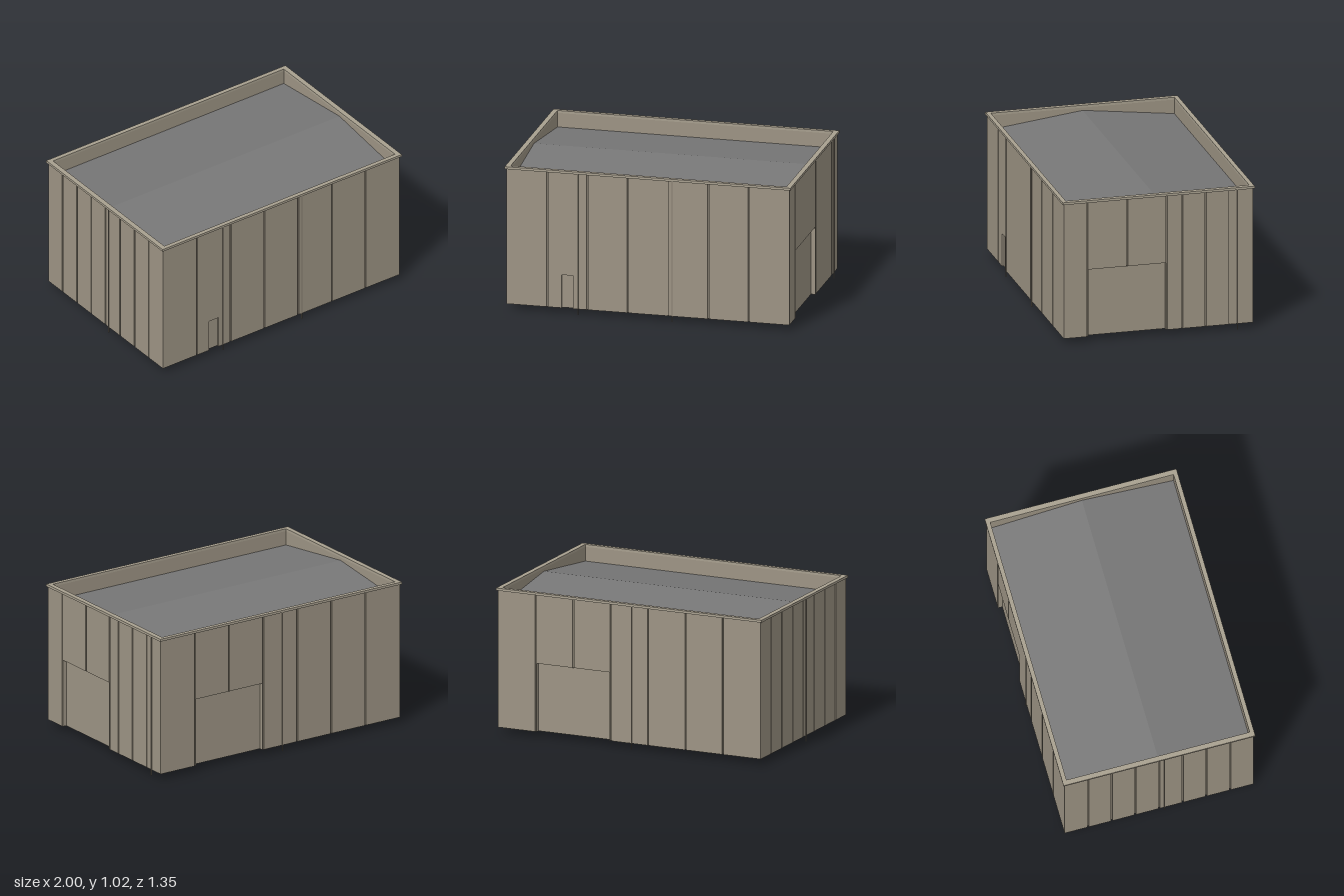
import * as THREE from 'three';

const BASE = 0.04, TOP = 1.0;          // wall panels
const HX = 0.99, HZ = 0.665;           // outer wall faces
const IX = 0.965, IZ = 0.645;          // inner parapet faces
const EAVE = 0.9, RIDGE = 0.98;

const mat = (color) => new THREE.MeshStandardMaterial({ color, side: THREE.DoubleSide, flatShading: true });

function add(parent, name, geometry, material) {
  const mesh = new THREE.Mesh(geometry, material);
  mesh.name = name;
  parent.add(mesh);
  return mesh;
}

// Vertical sheet following a plan path of [x, z] points
function strip(path, y0, y1) {
  const pos = [], index = [];
  path.forEach(([x, z], i) => {
    pos.push(x, y0, z, x, y1, z);
    if (i) {
      const a = 2 * i - 2;
      index.push(a, a + 2, a + 1, a + 1, a + 2, a + 3);
    }
  });
  const g = new THREE.BufferGeometry();
  g.setAttribute('position', new THREE.Float32BufferAttribute(pos, 3));
  g.setIndex(index);
  g.computeVertexNormals();
  return g;
}

// Plan path of a wall with rectangular recesses [from, to, depth]
function wallPath(half, recesses) {
  const path = [[-half, 0]];
  [...recesses].sort((a, b) => a[0] - b[0]).forEach(([a, b, d]) =>
    path.push([a, 0], [a, -d], [b, -d], [b, 0]));
  path.push([half, 0]);
  return path;
}

// Wall panel: joints are grooves, an optional door is a deeper recess
function makeWall(name, { half, dist, turn, joints, pipes, door }, materials) {
  const wall = new THREE.Group();
  wall.name = name;
  const grooves = joints.map((u) => [u - 0.005, u + 0.005, 0.01]);
  const sheet = new THREE.Group();
  sheet.position.z = dist;
  wall.add(sheet);
  if (door) {
    const { from, to, top, depth } = door;
    const clear = grooves.filter(([a, b]) => b < from || a > to);
    add(sheet, 'lowerPanels', strip(wallPath(half, [...clear, [from, to, depth]]), BASE, top), materials.wall);
    add(sheet, 'upperPanels', strip(wallPath(half, grooves), top, TOP), materials.wall);
    const soffit = add(sheet, 'doorSoffit', new THREE.PlaneGeometry(to - from, depth), materials.wall);
    soffit.rotation.x = Math.PI / 2;
    soffit.position.set((from + to) / 2, top, -depth / 2);
  } else {
    add(sheet, 'panels', strip(wallPath(half, grooves), BASE, TOP), materials.wall);
  }
  // Thin drain pipes reaching the ground
  pipes.forEach((u) => {
    const pipe = add(sheet, 'drainPipe', new THREE.BoxGeometry(0.006, TOP, 0.006), materials.pipe);
    pipe.position.set(u, TOP / 2, 0.002);
  });
  wall.rotation.y = turn;
  return wall;
}

export function createModel() {
  const model = new THREE.Group();
  model.name = 'warehouse';
  const materials = {
    wall: mat(0x9d9484), trim: mat(0xa8a08f), roof: mat(0x777777), pipe: mat(0x857d70),
  };

  const longJoints = [-0.705, -0.423, -0.141, 0.141, 0.423, 0.705];
  const shortJoints = [-0.5, -0.333, -0.167, 0, 0.167, 0.333, 0.5];
  const walls = {
    frontWall: {
      half: HX, dist: HZ, turn: 0, joints: longJoints, pipes: [-0.49, 0.17],
      door: { from: -0.605, to: -0.525, top: 0.275, depth: 0.015 },
    },
    backWall: {
      half: HX, dist: HZ, turn: Math.PI, joints: longJoints, pipes: [0.017],
      door: { from: -0.698, to: -0.148, top: 0.52, depth: 0.03 },
    },
    leftWall: {
      half: HZ, dist: HX, turn: Math.PI / 2,
      joints: [-0.5, -0.22, 0.06, 0.167, 0.333, 0.5], pipes: [0.557],
      door: { from: -0.493, to: 0.053, top: 0.52, depth: 0.03 },
    },
    rightWall: { half: HZ, dist: HX, turn: -Math.PI / 2, joints: shortJoints, pipes: [0.038] },
  };
  for (const [name, spec] of Object.entries(walls)) model.add(makeWall(name, spec, materials));

  // Inner faces of the parapet
  const ring = [[-IX, -IZ], [IX, -IZ], [IX, IZ], [-IX, IZ], [-IX, -IZ]];
  add(model, 'parapetLining', strip(ring, EAVE, TOP), materials.wall);

  // Coping around the top
  const rect = (Kind, x, z) => new Kind([[-x, -z], [x, -z], [x, z], [-x, z]].map((p) => new THREE.Vector2(...p)));
  const frame = rect(THREE.Shape, 1, 0.675);
  frame.holes.push(rect(THREE.Path, IX, IZ));
  const coping = new THREE.ExtrudeGeometry(frame, { depth: 0.017, bevelEnabled: false });
  coping.rotateX(-Math.PI / 2).translate(0, TOP, 0);
  add(model, 'coping', coping, materials.trim);

  // Shallow gable roof behind the parapet
  const roof = new THREE.PlaneGeometry(2 * IX, 2 * IZ, 1, 2).rotateX(-Math.PI / 2);
  const p = roof.attributes.position;
  for (let i = 0; i < p.count; i++) {
    p.setY(i, RIDGE - (RIDGE - EAVE) * Math.abs(p.getZ(i)) / IZ);
  }
  roof.computeVertexNormals();
  add(model, 'roof', roof, materials.roof);

  return model;
}
